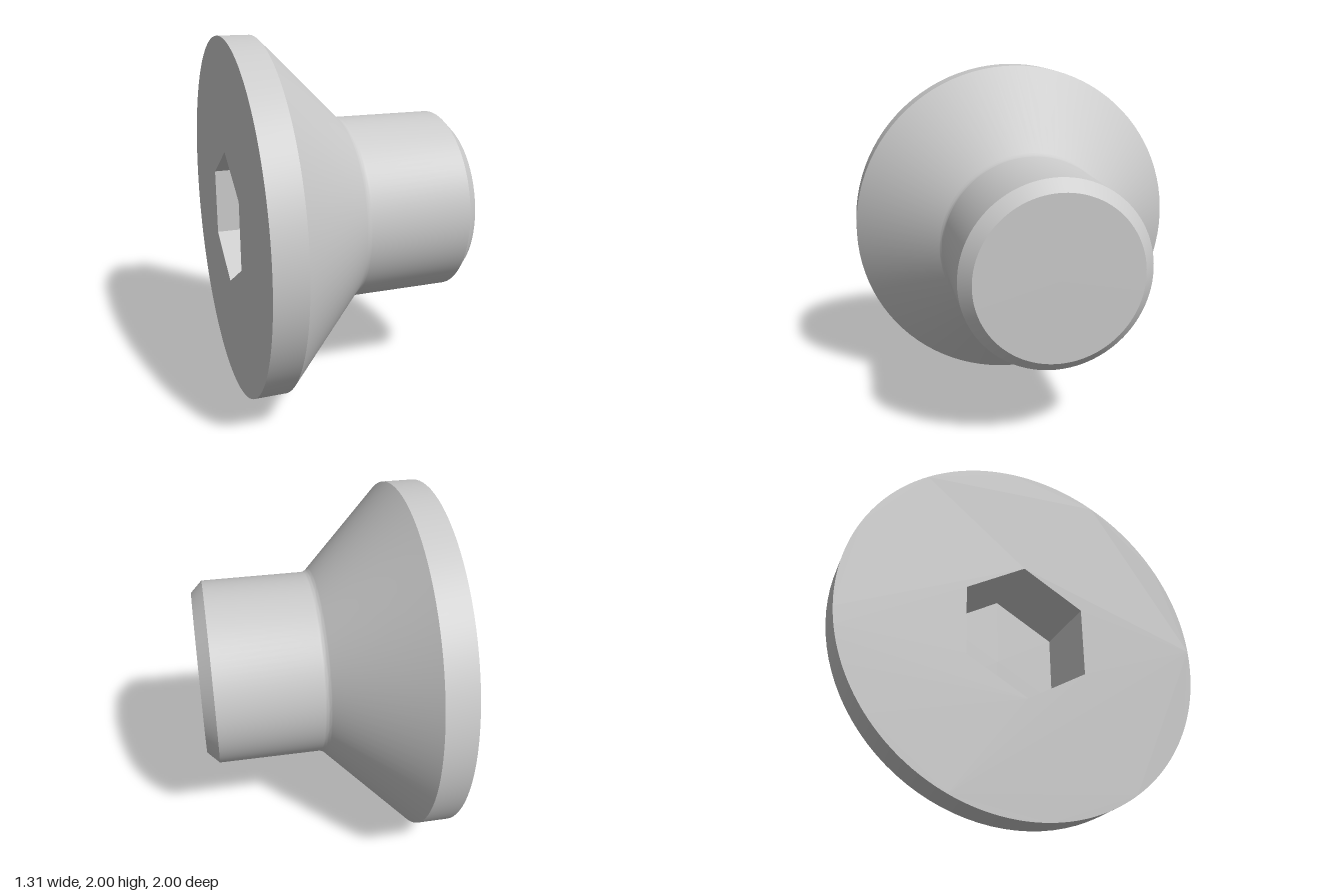
import * as THREE from 'three';
import { toCreasedNormals } from 'three/addons/utils/BufferGeometryUtils.js';

const SEG = 96;
const HEAD_X = -0.655, SOCKET_R = 0.38, SOCKET_DEPTH = 0.385;

export function createModel() {
  const group = new THREE.Group();
  group.name = 'countersunkScrew';
  const material = new THREE.MeshStandardMaterial({ color: 0xcccccc });

  const add = (name, geometry) => {
    const mesh = new THREE.Mesh(geometry, material);
    mesh.name = name;
    mesh.position.y = 1;
    group.add(mesh);
  };

  // Head rim, cone, small fillet, shank, chamfer and flat tip: [radius, x]
  const profile = [[1, HEAD_X], [1, -0.48]];
  const filletR = 0.06, start = filletR * Math.tan(Math.PI / 8) - 0.005;
  for (let i = 0; i <= 6; i++) {
    const a = (Math.PI / 4) * (1 - i / 6);
    profile.push([0.525 + filletR * (1 - Math.cos(a)), start - filletR * Math.sin(a)]);
  }
  profile.push([0.525, 0.59], [0.46, 0.655], [0, 0.655]);
  const body = new THREE.LatheGeometry(profile.map(([r, x]) => new THREE.Vector2(r, x)), SEG);
  body.rotateZ(-Math.PI / 2);
  add('headAndShank', toCreasedNormals(body, Math.PI / 6));

  // Flat head face with a hexagonal opening
  const face = new THREE.Shape().absarc(0, 0, 1, 0, Math.PI * 2);
  const corners = Array.from({ length: 6 }, (_, i) => {
    const a = Math.PI / 2 + (i * Math.PI) / 3;
    return new THREE.Vector2(SOCKET_R * Math.cos(a), SOCKET_R * Math.sin(a));
  });
  face.holes.push(new THREE.Path(corners));
  add('headFace', new THREE.ShapeGeometry(face, SEG).rotateY(-Math.PI / 2).translate(HEAD_X, 0, 0));

  // Socket walls: hexagonal tube mirrored so that it faces inward
  const walls = new THREE.CylinderGeometry(SOCKET_R, SOCKET_R, SOCKET_DEPTH, 6, 1, true, Math.PI / 2)
    .rotateZ(-Math.PI / 2).scale(-1, 1, 1)
    .translate(HEAD_X + SOCKET_DEPTH / 2, 0, 0).toNonIndexed();
  walls.computeVertexNormals();
  add('socketWalls', walls);

  // Socket floor
  add('socketFloor', new THREE.CircleGeometry(SOCKET_R, 6, Math.PI / 2)
    .rotateY(-Math.PI / 2).translate(HEAD_X + SOCKET_DEPTH, 0, 0));

  return group;
}
